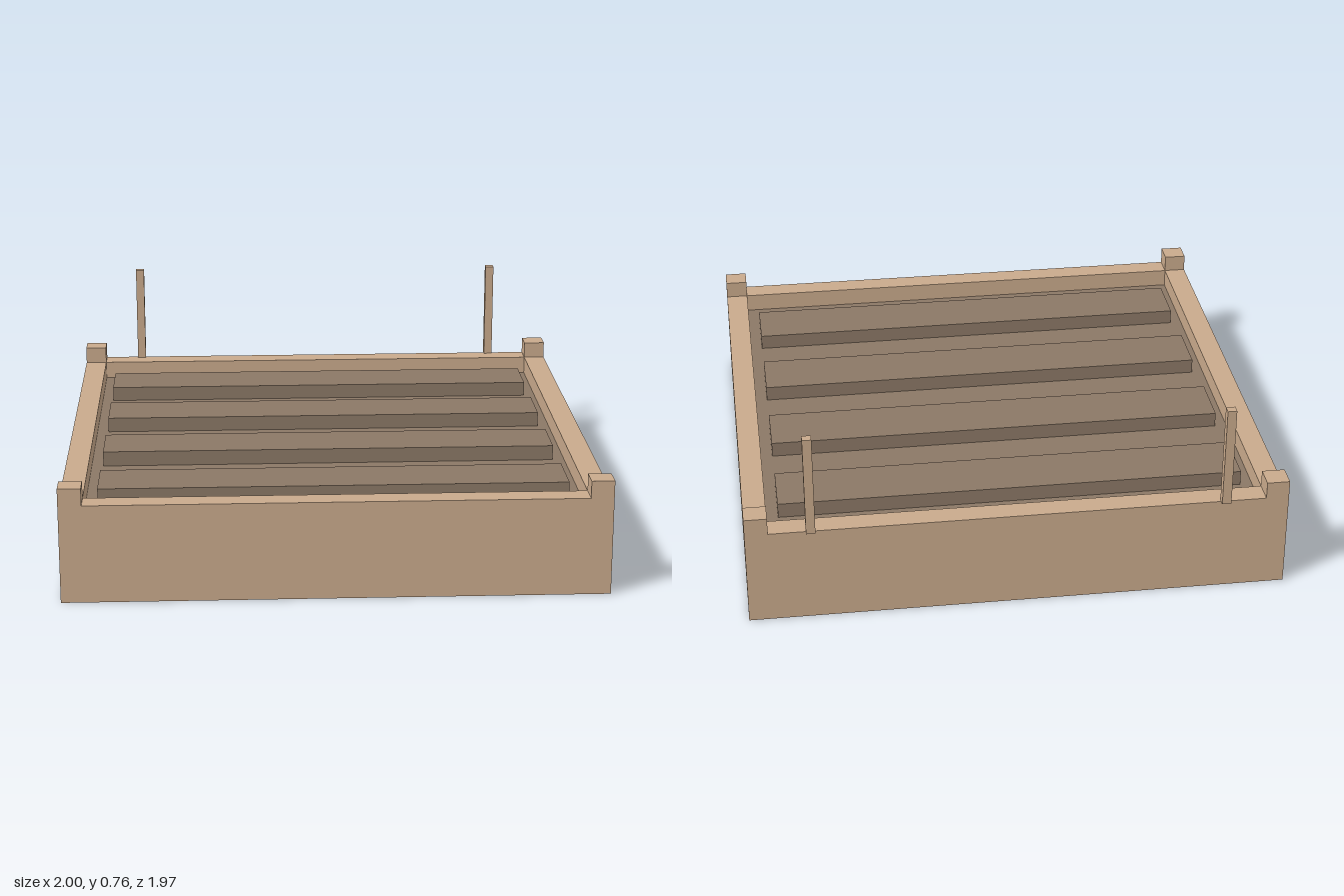
import * as THREE from 'three';

export function createModel() {
  const model = new THREE.Group();
  model.name = 'raisedGardenBed';

  const wood = new THREE.MeshStandardMaterial({ color: 0xc9aa8c });
  wood.name = 'wood';
  const earth = new THREE.MeshStandardMaterial({ color: 0x8b7866 });
  earth.name = 'earth';

  // Adds a box given its extents along each axis
  function block(name, material, [x0, x1], [y0, y1], [z0, z1]) {
    const mesh = new THREE.Mesh(new THREE.BoxGeometry(x1 - x0, y1 - y0, z1 - z0), material);
    mesh.position.set((x0 + x1) / 2, (y0 + y1) / 2, (z0 + z1) / 2);
    mesh.name = name;
    model.add(mesh);
  }

  const wall = 0.085, wallTop = 0.37, postTop = 0.435;
  const back = -0.967, front = 0.985;
  const innerX = 1 - wall, innerBack = back + wall, innerFront = front - wall;

  // Front and back boards
  block('frontBoard', wood, [-innerX, innerX], [0, wallTop], [innerFront, front]);
  block('backBoard', wood, [-innerX, innerX], [0, wallTop], [back, innerBack]);

  // Side boards, corner posts and back stakes, mirrored
  for (const side of [-1, 1]) {
    const label = side > 0 ? 'left' : 'right';
    const span = (a, b) => (side > 0 ? [a, b] : [-b, -a]);
    block(label + 'Board', wood, span(innerX, 1), [0, wallTop], [innerBack, innerFront]);
    block(label + 'FrontPost', wood, span(innerX, 1), [0, postTop], [innerFront, front]);
    block(label + 'BackPost', wood, span(innerX, 1), [0, postTop], [back, innerBack]);
    block(label + 'Stake', wood, span(0.745, 0.779), [wallTop, 0.762], [-0.985, -0.953]);
  }

  // Soil bed, slightly recessed underneath
  block('soil', earth, [-innerX, innerX], [0.025, 0.3], [innerBack, innerFront]);

  // Planting rows
  for (let i = 0; i < 4; i++) {
    const z = -0.645 + i * 0.434;
    block('plantingRow' + (i + 1), earth, [-0.87, 0.87], [0.29, 0.357], [z - 0.108, z + 0.108]);
  }

  return model;
}
